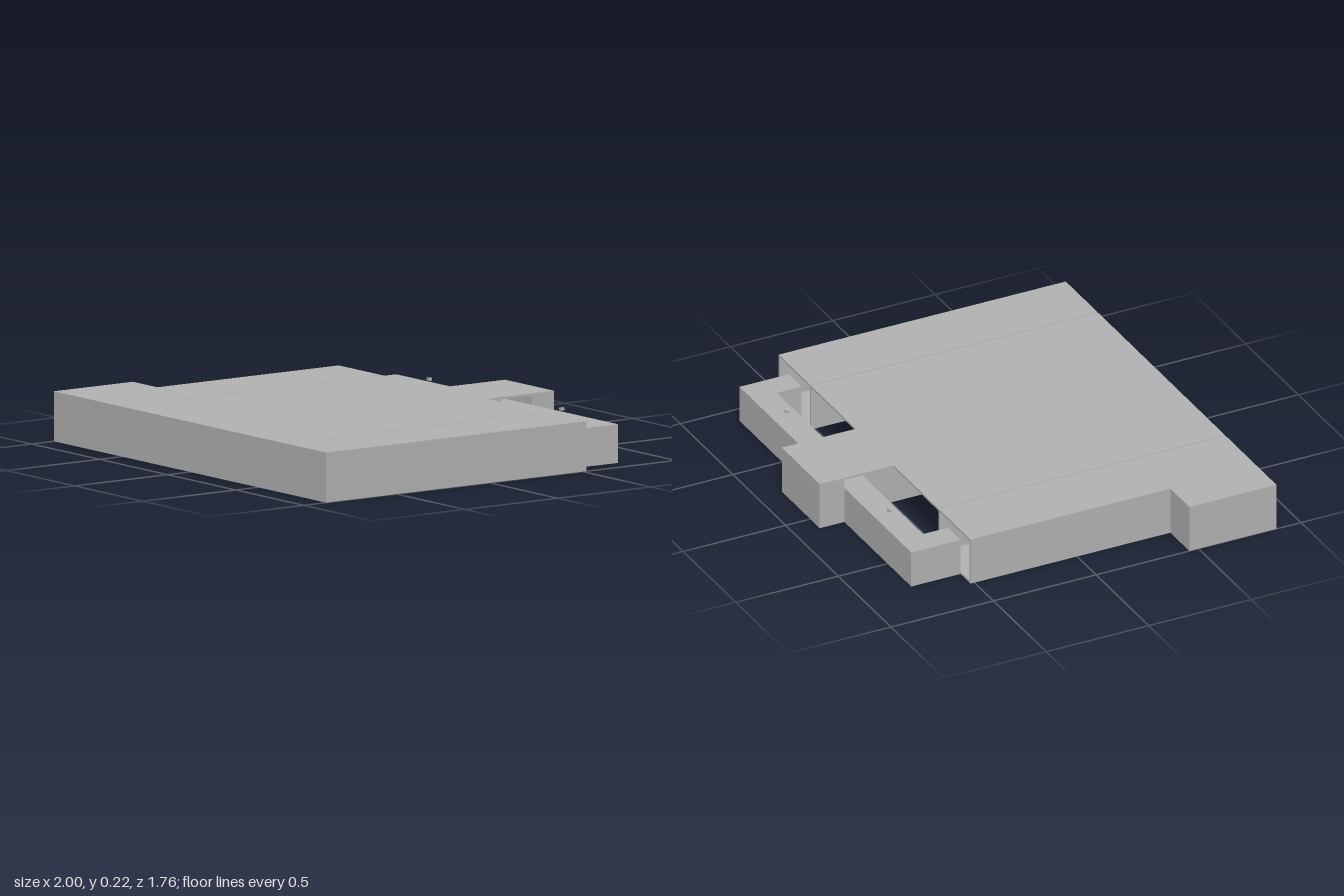
import * as THREE from 'three';

const CX = 0.09;            // symmetry axis of the plan
const TOP = 0.22, ROOF = 0.21, SKIN = 0.01;

export function createModel() {
  const model = new THREE.Group();
  model.name = 'building';
  const grey = new THREE.MeshStandardMaterial({ color: 0xb2b2b2 });
  grey.name = 'plain grey';

  // box from its limits along each axis
  const box = (name, x0, x1, y0, y1, z0, z1) => {
    const mesh = new THREE.Mesh(new THREE.BoxGeometry(x1 - x0, y1 - y0, z1 - z0), grey);
    mesh.position.set((x0 + x1) / 2, (y0 + y1) / 2, (z0 + z1) / 2);
    mesh.name = name;
    model.add(mesh);
  };
  // box given by distances from the symmetry axis, on side s
  const sideBox = (name, s, a, b, y0, y1, z0, z1) => {
    const p = CX + s * a, q = CX + s * b;
    box(name, Math.min(p, q), Math.max(p, q), y0, y1, z0, z1);
  };

  // main hall with its roof panels
  box('mainHall', CX - 0.605, CX + 0.605, 0, ROOF, -0.28, 0.88);
  box('mainRoof', CX - 0.603, CX + 0.603, ROOF, TOP, -0.28, 0.88);
  box('rearRoof', CX - 0.603, CX + 0.603, ROOF, TOP, -0.52, -0.28);

  // solid corner room at the front
  box('cornerRoom', -1, CX - 0.605, 0, ROOF, 0.455, 0.88);
  box('cornerRoof', -1, CX - 0.607, ROOF, TOP, 0.455, 0.88);

  // rear block: narrow pillar, passage over the low bar, end wall and roof
  box('pillar', CX - 0.12, CX + 0.12, 0, ROOF, -0.64, -0.28);
  box('endBlock', CX - 0.18, CX + 0.18, 0, ROOF, -0.88, -0.76);
  box('blockRoof', CX - 0.18, CX + 0.18, ROOF, TOP, -0.88, -0.52);

  // low bar across the back
  box('lowBar', CX - 0.815, CX + 0.815, 0, 0.17, -0.76, -0.64);

  for (const s of [-1, 1]) {
    const front = s > 0 ? 0.88 : 0.455;
    // side corridor, open at the back
    sideBox('corridorFloor', s, 0.605, 0.91, 0, SKIN, -0.52, front);
    sideBox('corridorRoof', s, 0.607, 0.91, ROOF, TOP, -0.52, front);
    sideBox('corridorOuterWall', s, 0.91 - SKIN, 0.91, SKIN, ROOF, -0.52, front);
    sideBox('corridorInnerWall', s, 0.605, 0.605 + SKIN, SKIN, ROOF, -0.52, -0.28);
    if (s > 0) sideBox('corridorFrontWall', s, 0.605, 0.91 - SKIN, SKIN, ROOF, front - SKIN, front);
    // leg joining the bar to the corridor, and the small peg above the bar
    sideBox('barLeg', s, 0.695, 0.815, 0, 0.17, -0.64, -0.52);
    sideBox('peg', s, 0.477, 0.497, 0.193, 0.205, -0.705, -0.69);
  }
  return model;
}
